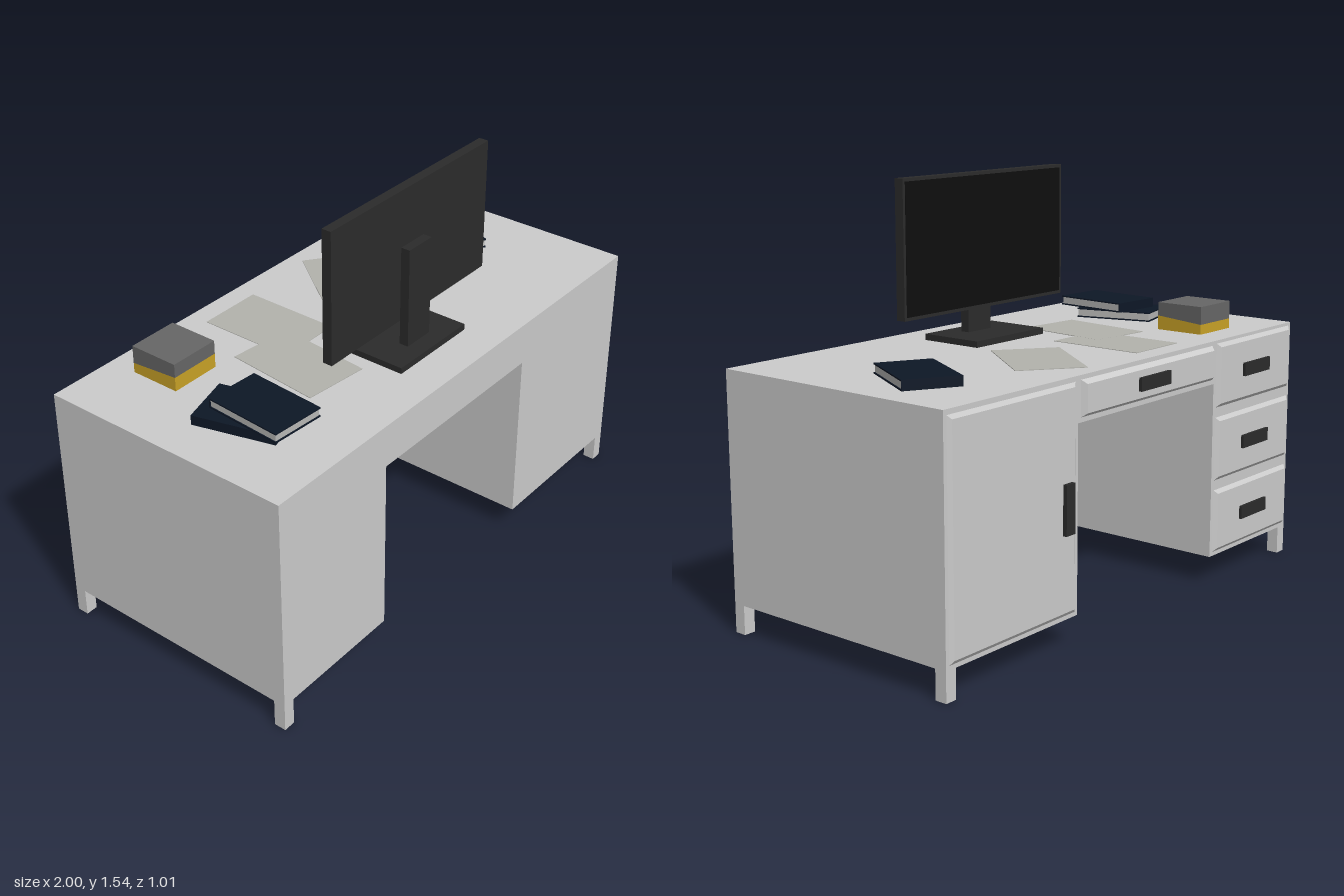
import * as THREE from 'three';

const mat = (color) => new THREE.MeshStandardMaterial({ color });
const grey = mat(0xcccccc);
const black = mat(0x2b2b2b);
const screenBlack = mat(0x0e0e0e);
const navy = mat(0x0d1726);
const pageMat = mat(0xb8b8b6);
const paperMat = mat(0xb2b2ac);
const yellow = mat(0xc9a227);
const darkGrey = mat(0x666666);

const TOP = 0.928;
const BACK = -0.475;
const FRONT = 0.505;

// Box given by its limits on each axis
function box(name, [x0, x1], [y0, y1], [z0, z1], material) {
  const mesh = new THREE.Mesh(new THREE.BoxGeometry(x1 - x0, y1 - y0, z1 - z0), material);
  mesh.position.set((x0 + x1) / 2, (y0 + y1) / 2, (z0 + z1) / 2);
  mesh.name = name;
  return mesh;
}

// Raised panel on the drawer side, chamfered towards its face
function panel(name, [x0, x1], [y0, y1], depth) {
  const w = x1 - x0, h = y1 - y0, inset = 0.014;
  const geo = new THREE.BoxGeometry(w, h, depth);
  const p = geo.attributes.position;
  for (let i = 0; i < p.count; i++) {
    if (p.getZ(i) > 0) continue;
    p.setX(i, p.getX(i) * (1 - 2 * inset / w));
    p.setY(i, p.getY(i) * (1 - 2 * inset / h));
  }
  geo.computeVertexNormals();
  const mesh = new THREE.Mesh(geo, grey);
  mesh.position.set((x0 + x1) / 2, (y0 + y1) / 2, BACK - depth / 2);
  mesh.name = name;
  return mesh;
}

// Book lying flat: two covers, a page block and a spine on a long or short side
function book(name, x, y, z, angle, shortSpine) {
  const g = new THREE.Group();
  const w = 0.205, l = 0.302, h = 0.036, t = 0.005, e = 0.004;
  g.add(box('lowerCover', [-w / 2, w / 2], [0, t], [-l / 2, l / 2], navy));
  g.add(box('upperCover', [-w / 2, w / 2], [h - t, h], [-l / 2, l / 2], navy));
  g.add(box('pages', [-w / 2 + e, w / 2 - e], [t, h - t], [-l / 2 + e, l / 2 - e], pageMat));
  g.add(shortSpine
    ? box('spine', [-w / 2, w / 2], [t, h - t], [-l / 2, -l / 2 + e], navy)
    : box('spine', [-w / 2, -w / 2 + e], [t, h - t], [-l / 2, l / 2], navy));
  g.position.set(x, y, z);
  g.rotation.y = angle;
  g.name = name;
  return g;
}

function createDesk() {
  const g = new THREE.Group();
  g.name = 'desk';

  // Two pedestals joined by the top, with an open knee space
  const shape = new THREE.Shape([
    [-1, 0.105], [-0.463, 0.105], [-0.463, 0.768], [0.346, 0.768],
    [0.346, 0.105], [1, 0.105], [1, TOP], [-1, TOP],
  ].map(([x, y]) => new THREE.Vector2(x, y)));
  const body = new THREE.Mesh(
    new THREE.ExtrudeGeometry(shape, { depth: FRONT - BACK, bevelEnabled: false }), grey);
  body.position.z = BACK;
  body.name = 'deskBody';
  g.add(body);

  // Corner legs
  for (const x of [[-1, -0.955], [0.955, 1]]) {
    for (const z of [[BACK, BACK + 0.045], [FRONT - 0.045, FRONT]]) {
      g.add(box('leg', x, [0, 0.105], z, grey));
    }
  }

  // Drawer stack
  for (const y of [0.24, 0.518, 0.796]) {
    g.add(panel('drawer', [-0.985, -0.48], [y - 0.12, y + 0.12], 0.012));
    g.add(box('drawerHandle', [-0.82, -0.645], [y - 0.025, y + 0.025], [-0.497, BACK], black));
  }

  // Wide middle drawer
  g.add(panel('middleDrawer', [-0.45, 0.332], [0.785, 0.912], 0.018));
  g.add(box('middleDrawerHandle', [-0.147, 0.03], [0.825, 0.873], [-0.505, BACK], black));

  // Cupboard door
  g.add(panel('door', [0.36, 0.985], [0.12, 0.91], 0.01));
  g.add(box('doorHandle', [0.39, 0.436], [0.405, 0.58], [-0.5, BACK], black));
  return g;
}

function createMonitor() {
  const g = new THREE.Group();
  g.name = 'monitor';
  g.add(box('monitorBase', [-0.185, 0.187], [TOP, 0.951], [0.105, 0.355], black));
  g.add(box('monitorNeck', [-0.06, 0.065], [0.951, 1.326], [0.254, 0.289], black));
  g.add(box('monitorPanel', [-0.433, 0.438], [1.043, 1.538], [0.217, 0.254], black));
  g.add(box('screen', [-0.422, 0.427], [1.055, 1.527], [0.2155, 0.22], screenBlack));
  return g;
}

// Block of notes in two colours with a slanted dividing line
function createNoteBlock() {
  const g = new THREE.Group();
  g.name = 'noteBlock';
  const slab = (name, zy, material) => {
    const shape = new THREE.Shape(zy.map(([z, y]) => new THREE.Vector2(z, y)));
    const mesh = new THREE.Mesh(
      new THREE.ExtrudeGeometry(shape, { depth: 0.195, bevelEnabled: false }), material);
    mesh.rotation.y = -Math.PI / 2;
    mesh.position.x = -0.54;
    mesh.name = name;
    g.add(mesh);
  };
  const [z0, z1] = [-0.363, -0.17];
  slab('lowerNotes', [[z0, TOP], [z1, TOP], [z1, 0.981], [z0, 0.965]], yellow);
  slab('upperNotes', [[z0, 0.965], [z1, 0.981], [z1, 1.032], [z0, 1.032]], darkGrey);
  return g;
}

export function createModel() {
  const model = new THREE.Group();
  model.name = 'deskWithMonitor';
  model.add(createDesk(), createMonitor(), createNoteBlock());

  // Books
  model.add(book('lowerBook', -0.708, TOP, 0.122, 0.27, false));
  model.add(book('upperBook', -0.686, TOP + 0.037, 0.18, -0.07, true));
  model.add(book('singleBook', 0.727, TOP, -0.115, -0.5, true));

  // Loose sheets of paper
  const sheets = [[-0.215, -0.21, 0], [-0.348, 0.036, -0.1], [0.21, -0.194, -0.64]];
  sheets.forEach(([x, z, angle], i) => {
    const sheet = box('paper', [-0.125, 0.125], [0, 0.002 + i * 0.0005], [-0.185, 0.185], paperMat);
    sheet.position.set(x, TOP + 0.001, z);
    sheet.rotation.y = angle;
    model.add(sheet);
  });
  return model;
}
